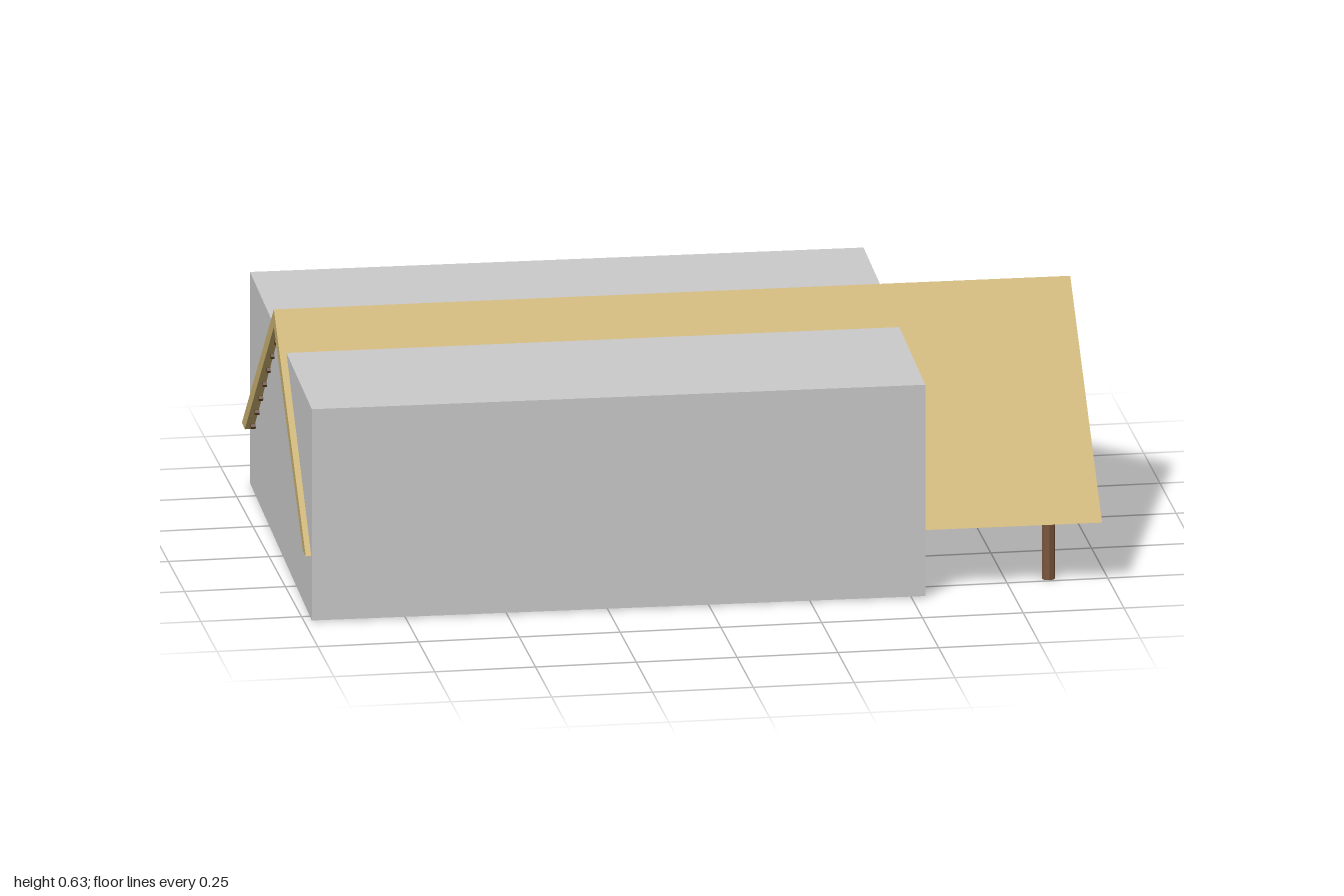
import * as THREE from 'three';

const thatch = new THREE.MeshStandardMaterial({ color: 0xc8b070 });
thatch.name = 'thatch';
const timber = new THREE.MeshStandardMaterial({ color: 0x7a563c });
timber.name = 'timber';
const darkTimber = new THREE.MeshStandardMaterial({ color: 0x5f4329 });
darkTimber.name = 'darkTimber';
const stone = new THREE.MeshStandardMaterial({ color: 0xcacaca });
stone.name = 'paleGrey';

// Faceted round log from point a to point b
function log(name, a, b, r, material = timber, sides = 8) {
  const from = new THREE.Vector3(...a), to = new THREE.Vector3(...b);
  const dir = to.clone().sub(from);
  const geo = new THREE.CylinderGeometry(r, r, dir.length(), sides).toNonIndexed();
  geo.computeVertexNormals();
  const mesh = new THREE.Mesh(geo, material);
  mesh.name = name;
  mesh.position.copy(from).add(to).multiplyScalar(0.5);
  mesh.quaternion.setFromUnitVectors(new THREE.Vector3(0, 1, 0), dir.normalize());
  return mesh;
}

// Thatched gable roof: chevron profile, with a slightly uneven back eave
function buildThatch() {
  const half = 0.985;
  const shape = new THREE.Shape([
    [-0.555, 0.165], [-0.505, 0.163], [0, 0.582], [0.505, 0.163], [0.555, 0.165], [0, 0.627],
  ].map(([x, y]) => new THREE.Vector2(x, y)));
  const geo = new THREE.ExtrudeGeometry(shape, { depth: 2 * half, steps: 24, bevelEnabled: false });
  geo.translate(0, 0, -half);
  geo.rotateY(Math.PI / 2);
  const p = geo.attributes.position;
  for (let i = 0; i < p.count; i++) {
    const x = p.getX(i), z = p.getZ(i);
    if (z < -0.1) {
      const dip = 0.02 * Math.exp(-(((x - 0.72) / 0.1) ** 2));
      p.setZ(i, z + dip + 0.004 * Math.sin(x * 9));
    }
  }
  geo.computeVertexNormals();
  const mesh = new THREE.Mesh(geo, thatch);
  mesh.name = 'thatchRoof';
  return mesh;
}

export function createModel() {
  const model = new THREE.Group();
  model.name = 'longhouse';

  // Plain block enclosing most of the hall
  const block = new THREE.Mesh(new THREE.BoxGeometry(1.516, 0.542, 1.14), stone);
  block.name = 'hallBlock';
  block.position.set(-0.209, 0.274, -0.005);
  block.rotation.y = -0.0264;
  model.add(block);

  const frame = new THREE.Group();
  frame.name = 'roofAndFrame';
  frame.position.z = -0.003;
  frame.rotation.y = -0.0185;
  model.add(frame);
  frame.add(buildThatch());

  // Ridge beam and the rail beneath it
  frame.add(log('ridgeBeam', [-0.96, 0.55, 0], [0.96, 0.55, 0], 0.036));
  frame.add(log('centreRail', [-0.87, 0.28, 0], [0.9, 0.28, 0], 0.018));

  // King posts
  for (const x of [0.865, 0.535]) {
    frame.add(log('kingPost', [x, 0, 0], [x, 0.55, 0], 0.028));
  }

  // Side posts and tie beams
  for (let i = 0; i < 6; i++) {
    const x = 0.865 - i * 0.346;
    for (const s of [-1, 1]) {
      frame.add(log('sidePost', [x, 0, s * 0.466], [x, 0.185, s * 0.466], 0.0165));
    }
    frame.add(log('tieBeam', [x, 0.29, -0.355], [x, 0.29, 0.355], 0.015));
  }

  // Rafters and battens under both slopes
  for (const s of [-1, 1]) {
    for (let i = 0; i < 18; i++) {
      const x = -0.95 + i * 0.112;
      frame.add(log('rafter', [x, 0.562, s * 0.008], [x, 0.165, s * 0.486], 0.009, darkTimber, 6));
    }
    for (let i = 0; i < 7; i++) {
      const z = 0.06 + i * 0.069;
      const y = 0.574 - z * 0.83;
      frame.add(log('batten', [-0.975, y, s * z], [0.975, y, s * z], 0.007, darkTimber, 6));
    }
  }
  return model;
}
